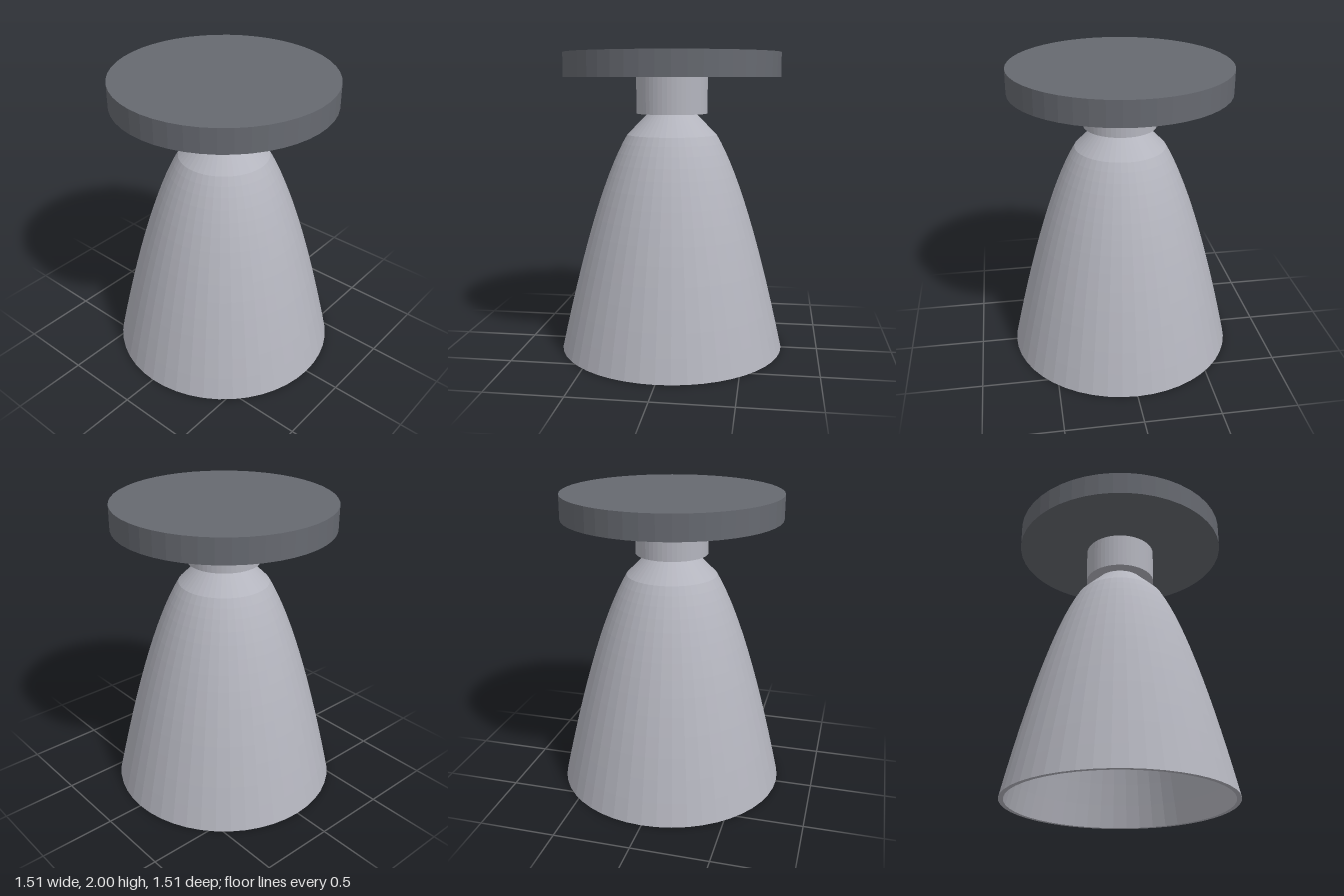
import * as THREE from 'three';

const SIDES = 48;

export function createModel() {
  const model = new THREE.Group();
  const bellMetal = new THREE.MeshStandardMaterial({ color: 0xb4b5be, flatShading: true });
  bellMetal.name = 'light grey metal';
  const plateMetal = new THREE.MeshStandardMaterial({ color: 0x666970, flatShading: true });
  plateMetal.name = 'dark grey metal';

  const add = (name, geometry, material, y = 0) => {
    const mesh = new THREE.Mesh(geometry, material);
    mesh.name = name;
    mesh.position.y = y;
    model.add(mesh);
  };

  // Hollow bell: a curved flare below a short conical throat, with a thin wall
  const wall = 0.03;
  const flare = new THREE.QuadraticBezierCurve(
    new THREE.Vector2(0.757, 0),
    new THREE.Vector2(0.515, 1.1),
    new THREE.Vector2(0.3, 1.46)
  );
  const outer = [...flare.getPoints(14), new THREE.Vector2(0.16, 1.6)];
  const inner = outer.map((p) => new THREE.Vector2(p.x - wall, p.y)).reverse();
  add('bell', new THREE.LatheGeometry([...outer, ...inner, outer[0].clone()], SIDES), bellMetal);

  // Collar joining the bell to the mounting plate
  add('collar', new THREE.CylinderGeometry(0.238, 0.238, 0.24, SIDES), bellMetal, 1.72);

  // Mounting plate
  add('mountingPlate', new THREE.CylinderGeometry(0.718, 0.718, 0.16, SIDES), plateMetal, 1.92);

  return model;
}
